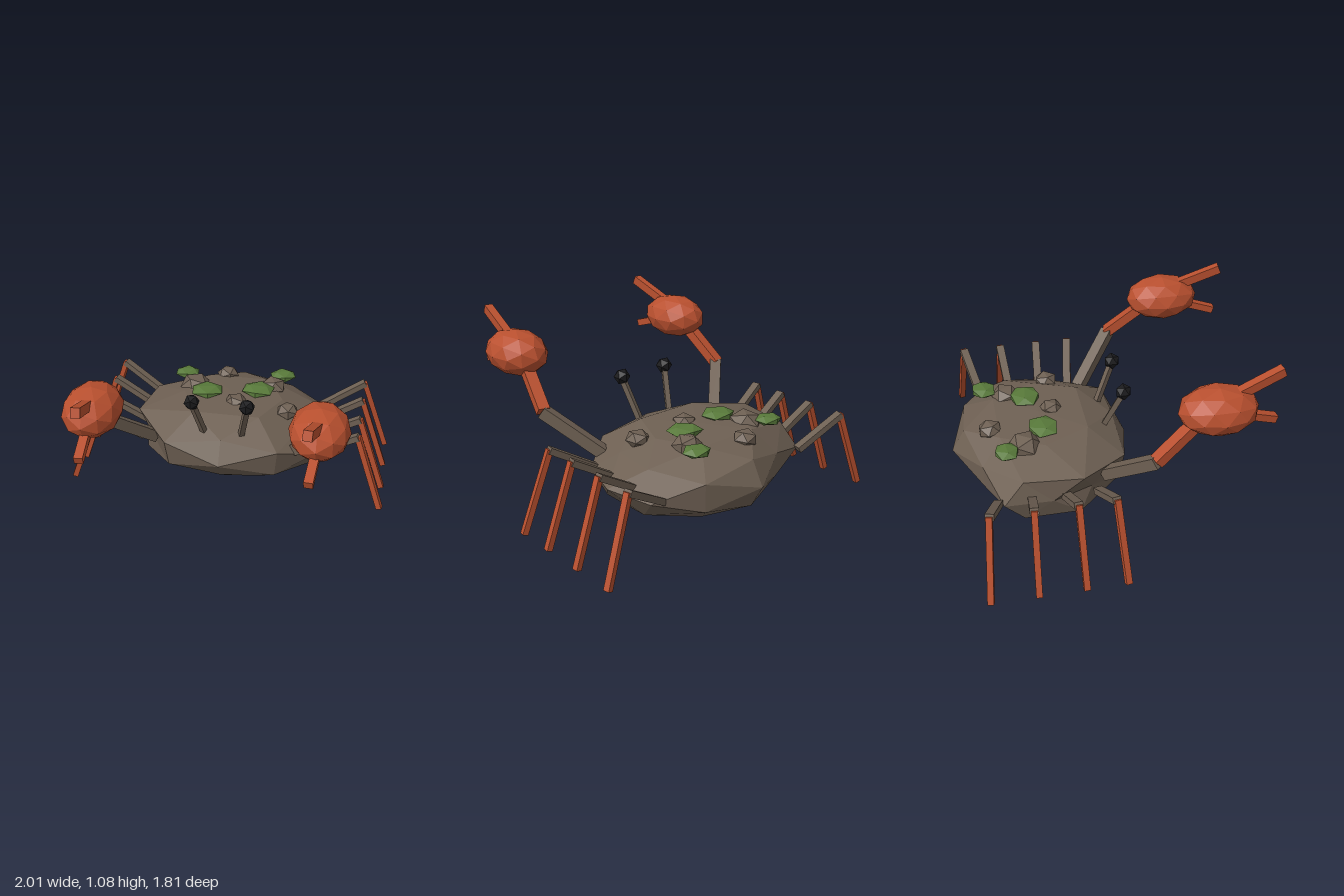
import * as THREE from 'three';

export function createModel() {
  const crab = new THREE.Group();
  crab.name = 'rockCrab';

  const paint = (name, color) => {
    const m = new THREE.MeshStandardMaterial({ color });
    m.name = name;
    return m;
  };
  const stone = paint('stone brown', 0x6e6053);
  const shellRed = paint('claw red', 0xb9502f);
  const moss = paint('moss green', 0x58793a);
  const black = paint('eye black', 0x1a1a1c);

  const add = (name, geometry, material, parent = crab) => {
    const mesh = new THREE.Mesh(geometry, material);
    mesh.name = name;
    parent.add(mesh);
    return mesh;
  };

  // Faceted ball with its own radius on each axis
  const facetBall = (rx, ry, rz, detail) => {
    const g = new THREE.IcosahedronGeometry(1, detail);
    g.scale(rx, ry, rz);
    g.computeVertexNormals(); // unshared corners, so the faces stay flat
    return g;
  };

  // Square bar between two points
  const bar = (name, from, to, width, height, material, parent) => {
    const a = new THREE.Vector3(...from);
    const b = new THREE.Vector3(...to);
    const mesh = add(name, new THREE.BoxGeometry(width, height, a.distanceTo(b)), material, parent);
    mesh.position.copy(a).add(b).multiplyScalar(0.5);
    mesh.lookAt(b);
    return mesh;
  };

  // Body: faceted boulder, dented or swollen along a few directions, with a flattened top
  const dents = [
    [-1, 0, 0, 0.86],
    [0, -1, 0, 1.02],
    [-0.526, -0.851, 0, 0.8],
    [-0.526, 0.851, 0, 0.92],
    [-0.5, 0.309, -0.809, 0.86],
    [-0.5, -0.309, -0.809, 0.86],
    [-0.851, 0, 0.526, 0.85],
    [-0.809, 0.5, 0.309, 1.08],
    [0.851, 0, -0.526, 1.07],
    [0.5, 0.309, 0.809, 1.05],
    [-0.5, 0.309, 0.809, 1.06],
    [0, -0.526, 0.851, 0.93],
    [0.526, 0.851, 0, 0.91],
    [0.809, 0.5, 0.309, 0.86],
    [0.809, 0.5, -0.309, 0.93],
    [0.309, 0.809, -0.5, 0.95],
    [-0.309, 0.809, -0.5, 0.95],
  ].map(([x, y, z, s]) => ({ dir: new THREE.Vector3(x, y, z), s }));
  const body = new THREE.IcosahedronGeometry(1, 1);
  const pos = body.attributes.position;
  const v = new THREE.Vector3();
  for (let i = 0; i < pos.count; i++) {
    v.fromBufferAttribute(pos, i);
    const dent = dents.find((d) => d.dir.distanceTo(v) < 0.05);
    if (dent) v.multiplyScalar(dent.s);
    pos.setXYZ(i, v.x * 0.66, Math.min(0.31 + v.y * 0.265, 0.53), v.z * 0.53 - 0.38);
  }
  body.computeVertexNormals();
  add('body', body, stone);

  // Stones on the back: x, y, z, radius, turn
  const stones = [
    [-0.09, 0.505, -0.68, 0.075, 0.4],
    [-0.27, 0.5, -0.5, 0.105, 1.0],
    [0.23, 0.51, -0.55, 0.09, 2.0],
    [0.03, 0.515, -0.3, 0.075, 0.9],
    [0.36, 0.495, -0.28, 0.075, 0.2],
  ];
  for (const [x, y, z, r, turn] of stones) {
    const rock = add('backStone', facetBall(r, r * 0.7, r, 0), stone);
    rock.position.set(x, y, z);
    rock.rotation.y = turn;
  }

  // Moss clumps: x, y, z, radius, turn
  const clumps = [
    [-0.35, 0.53, -0.61, 0.085, 0.1],
    [0.28, 0.53, -0.68, 0.09, 0.3],
    [-0.17, 0.54, -0.375, 0.11, 0.2],
    [0.15, 0.54, -0.44, 0.11, -0.1],
  ];
  for (const [x, y, z, r, turn] of clumps) {
    const clump = add('mossClump', facetBall(r, 0.032, r * 0.9, 0), moss);
    clump.position.set(x, y, z);
    clump.rotation.y = turn;
  }

  // Legs from front to back: depth at hip, knee and foot
  const legs = [
    [-0.12, -0.07, -0.035],
    [-0.31, -0.28, -0.27],
    [-0.5, -0.52, -0.535],
    [-0.69, -0.76, -0.8],
  ];

  for (const side of [1, -1]) {
    const label = side > 0 ? 'left' : 'right';

    legs.forEach(([hip, knee, foot], i) => {
      const leg = new THREE.Group();
      leg.name = `${label}Leg${i + 1}`;
      crab.add(leg);
      bar('upperLeg', [side * 0.53, 0.315, hip], [side * 0.82, 0.485, knee], 0.05, 0.038, stone, leg);
      bar('lowerLeg', [side * 0.815, 0.487, knee], [side * 0.983, 0.006, foot], 0.036, 0.034, shellRed, leg);
    });

    // Arm and claw
    const arm = new THREE.Group();
    arm.name = `${label}Arm`;
    crab.add(arm);
    bar('upperArm', [side * 0.44, 0.36, -0.06], [side * 0.685, 0.605, 0.185], 0.07, 0.07, stone, arm);
    bar('forearm', [side * 0.685, 0.605, 0.175], [side * 0.64, 0.8, 0.4], 0.07, 0.06, shellRed, arm);
    add('claw', facetBall(0.167, 0.136, 0.228, 1), shellRed, arm).position.set(side * 0.624, 0.865, 0.527);
    bar('upperFinger', [side * 0.622, 0.935, 0.6], [side * 0.59, 1.05, 0.89], 0.05, 0.055, shellRed, arm);
    bar('lowerFinger', [side * 0.622, 0.82, 0.64], [side * 0.605, 0.745, 0.87], 0.05, 0.045, shellRed, arm);

    // Eye on its stalk
    bar(`${label}EyeStalk`, [side * 0.115, 0.46, 0.0], [side * 0.163, 0.7, 0.1], 0.032, 0.032, stone);
    add(`${label}Eye`, facetBall(0.05, 0.05, 0.05, 0), black).position.set(side * 0.165, 0.718, 0.105);
  }

  return crab;
}
